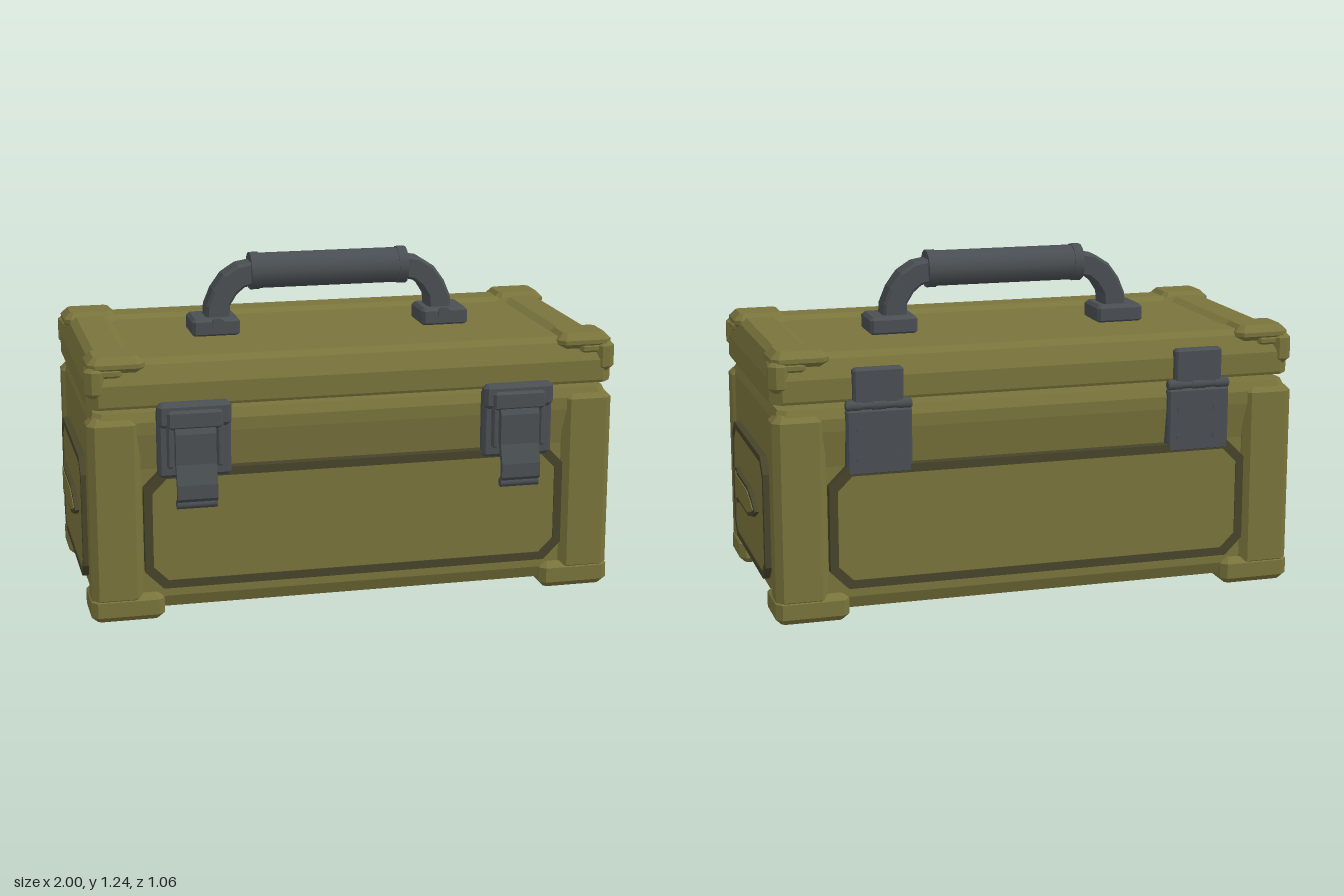
import * as THREE from 'three';

const paint = (name, color) => {
  const m = new THREE.MeshStandardMaterial({ color });
  m.name = name;
  return m;
};

// Solid lofted through chamfered rectangles: [y, halfX, halfZ, corner chamfer]
function loft(rings) {
  const loops = rings.map(([y, x, z, c]) => [
    [x, y, c - z], [x, y, z - c], [x - c, y, z], [c - x, y, z],
    [-x, y, z - c], [-x, y, c - z], [c - x, y, -z], [x - c, y, -z]]);
  const p = [];
  const last = loops.length - 1;
  for (let i = 0; i < 8; i++) {
    const j = (i + 1) % 8;
    for (let k = 0; k < last; k++) {
      const [a, b, c, d] = [loops[k][i], loops[k][j], loops[k + 1][j], loops[k + 1][i]];
      p.push(...a, ...d, ...c, ...a, ...c, ...b);
    }
    if (i > 0 && i < 7) {
      p.push(...loops[0][0], ...loops[0][i], ...loops[0][j]);
      p.push(...loops[last][0], ...loops[last][j], ...loops[last][i]);
    }
  }
  const g = new THREE.BufferGeometry();
  g.setAttribute('position', new THREE.Float32BufferAttribute(p, 3));
  g.computeVertexNormals();
  return g;
}

// Box with chamfered edges
const bevelBox = (w, h, d, c) => loft([
  [-h / 2, w / 2 - c, d / 2 - c, c * 0.5], [-h / 2 + c, w / 2, d / 2, c],
  [h / 2 - c, w / 2, d / 2, c], [h / 2, w / 2 - c, d / 2 - c, c * 0.5]]);

const poly = (pts) => new THREE.Shape(pts.map(([x, y]) => new THREE.Vector2(x, y)));
const octagon = (w, h, c) => [
  [w, c - h], [w, h - c], [w - c, h], [c - w, h], [-w, h - c], [-w, c - h], [c - w, -h], [w - c, -h]];
const slab = (shape, depth) => new THREE.ExtrudeGeometry(shape, { depth, bevelEnabled: false });

export function createModel() {
  const olive = paint('olive', 0x7a743c);
  const dark = paint('darkOlive', 0x47442a);
  const metal = paint('gunmetal', 0x4a4f53);
  const model = new THREE.Group();
  model.name = 'toolCase';
  const CZ = -0.0325;

  const add = (parent, name, geo, mat, x = 0, y = 0, z = 0) => {
    const m = new THREE.Mesh(geo, mat);
    m.name = name;
    m.position.set(x, y, z);
    parent.add(m);
    return m;
  };
  // Box given by its limits
  const block = (parent, name, mat, [x0, x1], [y0, y1], [z0, z1], c) =>
    add(parent, name, bevelBox(Math.abs(x1 - x0), y1 - y0, Math.abs(z1 - z0), c), mat,
      (x0 + x1) / 2, (y0 + y1) / 2, (z0 + z1) / 2);

  // Body with a slightly flared lip
  add(model, 'body', loft([
    [0.035, 0.93, 0.44, 0.02], [0.08, 0.96, 0.46, 0.03], [0.56, 0.96, 0.455, 0.03],
    [0.69, 0.96, 0.475, 0.03], [0.735, 0.96, 0.475, 0.03], [0.77, 0.945, 0.46, 0.03]]), olive, 0, 0, CZ);

  // Lid with a shallow recess on top
  add(model, 'lid', loft([
    [0.79, 0.965, 0.47, 0.03], [0.80, 0.97, 0.475, 0.04], [0.875, 0.97, 0.475, 0.04],
    [0.94, 0.945, 0.445, 0.04], [0.96, 0.92, 0.42, 0.04], [0.96, 0.82, 0.325, 0.03],
    [0.945, 0.79, 0.295, 0.03]]), olive, 0, 0, -0.02);

  // Corner posts, feet and lid caps
  for (const sx of [-1, 1]) {
    for (const sz of [-1, 1]) {
      const X = (a, b) => [sx * a, sx * b];
      const Z = (a, b) => [CZ + sz * a, CZ + sz * b];
      block(model, 'cornerPost', olive, X(0.785, 0.972), [0.06, 0.755], Z(0.365, 0.4875), 0.025);
      block(model, 'foot', olive, X(0.71, 0.975), [0, 0.1], Z(0.285, 0.4875), 0.022);
      const L = (a, b) => [-0.02 + sz * a, -0.02 + sz * b];
      block(model, 'lidCap', olive, X(0.76, 0.965), [0.91, 0.975], L(0.3, 0.472), 0.025);
      block(model, 'lidCapLeg', olive, X(0.9, 0.976), [0.825, 0.95], L(0.405, 0.481), 0.024);
      // Gussets widening the cap toward its legs
      block(model, 'lidCapGusset', olive, X(0.83, 0.955), [0.885, 0.95], L(0.4, 0.47), 0.025);
      block(model, 'lidCapGusset', olive, X(0.9, 0.968), [0.885, 0.95], L(0.345, 0.46), 0.025);
    }
  }

  // Framed octagonal panels, facing local +z
  function panel(name, w, h, c, rim, depth) {
    const g = new THREE.Group();
    g.name = name;
    const ring = poly(octagon(w, h, c));
    const inner = octagon(w - rim, h - rim, c - rim * 0.4);
    ring.holes.push(new THREE.Path(inner.map(([x, y]) => new THREE.Vector2(x, y))));
    add(g, 'panelFrame', slab(ring, depth), dark);
    add(g, 'panelFace', slab(poly(inner), depth - 0.004), olive);
    model.add(g);
    return g;
  }
  for (const s of [1, -1]) {
    const longPanel = panel(s > 0 ? 'frontPanel' : 'backPanel', 0.78, 0.22, 0.065, 0.03, 0.05);
    longPanel.position.set(0, 0.34, CZ + s * 0.443);
    longPanel.rotation.y = s > 0 ? 0 : Math.PI;

    const endPanel = panel(s > 0 ? 'leftPanel' : 'rightPanel', 0.337, 0.227, 0.055, 0.024, 0.035);
    endPanel.position.set(s * 0.95, 0.345, CZ);
    endPanel.rotation.y = s * Math.PI / 2;

    // Raised cartridge emblem: dark outline under an olive face
    const half = [[0.208, 0], [0.135, 0.036], [0.09, 0.044], [0.065, 0.054], [-0.17, 0.054],
      [-0.178, 0.067], [-0.205, 0.067], [-0.225, 0.05]];
    const halfIn = [[0.175, 0], [0.125, 0.022], [0.088, 0.03], [0.06, 0.041], [-0.182, 0.041],
      [-0.188, 0.052], [-0.2, 0.052], [-0.21, 0.042]];
    const outline = (pts) => poly([...pts, ...pts.slice(1).reverse().map(([x, y]) => [x, -y])]);
    add(endPanel, 'emblemOutline', slab(outline(half), 0.02), dark, 0.002, 0.002, 0.027);
    add(endPanel, 'emblemFace', slab(outline(halfIn), 0.023), olive, 0.002, 0.002, 0.027);
  }

  // Carry handle
  const handle = new THREE.Group();
  handle.name = 'handle';
  handle.position.z = -0.03;
  model.add(handle);
  const armShape = poly([[0.385, 0.99], [0.475, 0.99], [0.47, 1.05], [0.445, 1.11], [0.405, 1.165],
    [0.35, 1.2], [0.28, 1.212], [0.28, 1.125], [0.325, 1.115], [0.355, 1.09], [0.38, 1.05]]);
  const armGeo = new THREE.ExtrudeGeometry(armShape,
    { depth: 0.076, bevelSize: 0.01, bevelOffset: -0.01, bevelThickness: 0.012, bevelSegments: 1 });
  armGeo.translate(0, 0, -0.038);
  const rod = (r, len, sides) => new THREE.CylinderGeometry(r, r, len, sides).rotateZ(Math.PI / 2);
  for (const s of [1, -1]) {
    add(handle, 'handleArm', armGeo, metal).rotation.y = s > 0 ? 0 : Math.PI;
    block(handle, 'handleMount', metal, [s * 0.35, s * 0.53], [0.94, 1.01], [-0.083, 0.083], 0.012);
    add(handle, 'mountBolt', new THREE.CylinderGeometry(0.024, 0.024, 0.02, 12).rotateX(Math.PI / 2),
      metal, s * 0.435, 0.99, 0.083);
    add(handle, 'gripCollar', rod(0.07, 0.035, 14), metal, s * 0.283, 1.17, 0);
  }
  add(handle, 'grip', rod(0.066, 0.56, 14), metal, 0, 1.17, 0);

  // Latch lever profile as [z, y], extruded across x
  const leverGeo = slab(poly([[0.47, 0.72], [0.495, 0.725], [0.507, 0.7], [0.507, 0.59], [0.53, 0.52],
    [0.53, 0.47], [0.515, 0.455], [0.505, 0.465], [0.512, 0.48], [0.51, 0.515], [0.485, 0.58],
    [0.47, 0.6]]), 0.145);
  leverGeo.rotateY(-Math.PI / 2).translate(0.0725, 0, 0);

  for (const s of [1, -1]) {
    // Front latches
    const latch = new THREE.Group();
    latch.name = 'latch';
    latch.position.x = s * 0.597;
    model.add(latch);
    block(latch, 'latchPlate', metal, [-0.132, 0.132], [0.535, 0.79], [0.43, 0.475], 0.012);
    block(latch, 'latchTop', metal, [-0.132, 0.132], [0.72, 0.81], [0.44, 0.492], 0.014);
    block(latch, 'latchBar', metal, [-0.1, 0.1], [0.715, 0.785], [0.46, 0.502], 0.01);
    for (const t of [1, -1]) {
      block(latch, 'latchRail', metal, [t * 0.078, t * 0.1], [0.575, 0.73], [0.45, 0.495], 0.006);
    }
    add(latch, 'latchLever', leverGeo, metal);
    add(latch, 'leverCurl', rod(0.017, 0.145, 10), metal, 0, 0.446, 0.502);

    // Back hinges
    const hinge = new THREE.Group();
    hinge.name = 'hinge';
    hinge.position.x = s * 0.597;
    model.add(hinge);
    block(hinge, 'hingeLidLeaf', metal, [-0.09, 0.09], [0.78, 0.91], [-0.522, -0.48], 0.008);
    block(hinge, 'hingeBodyLeaf', metal, [-0.118, 0.118], [0.53, 0.765], [-0.527, -0.48], 0.008);
    add(hinge, 'hingePin', rod(0.015, 0.236, 10), metal, 0, 0.778, -0.513);
    for (const x of [-0.09, 0, 0.09]) {
      add(hinge, 'hingeKnuckle', rod(0.02, 0.05, 10), metal, x, 0.778, -0.51);
    }
    for (const x of [-0.07, 0.07]) {
      for (const y of [0.585, 0.69]) {
        add(hinge, 'rivet', new THREE.CylinderGeometry(0.015, 0.015, 0.008, 10).rotateX(Math.PI / 2),
          metal, x, y, -0.527);
      }
    }
  }
  return model;
}
